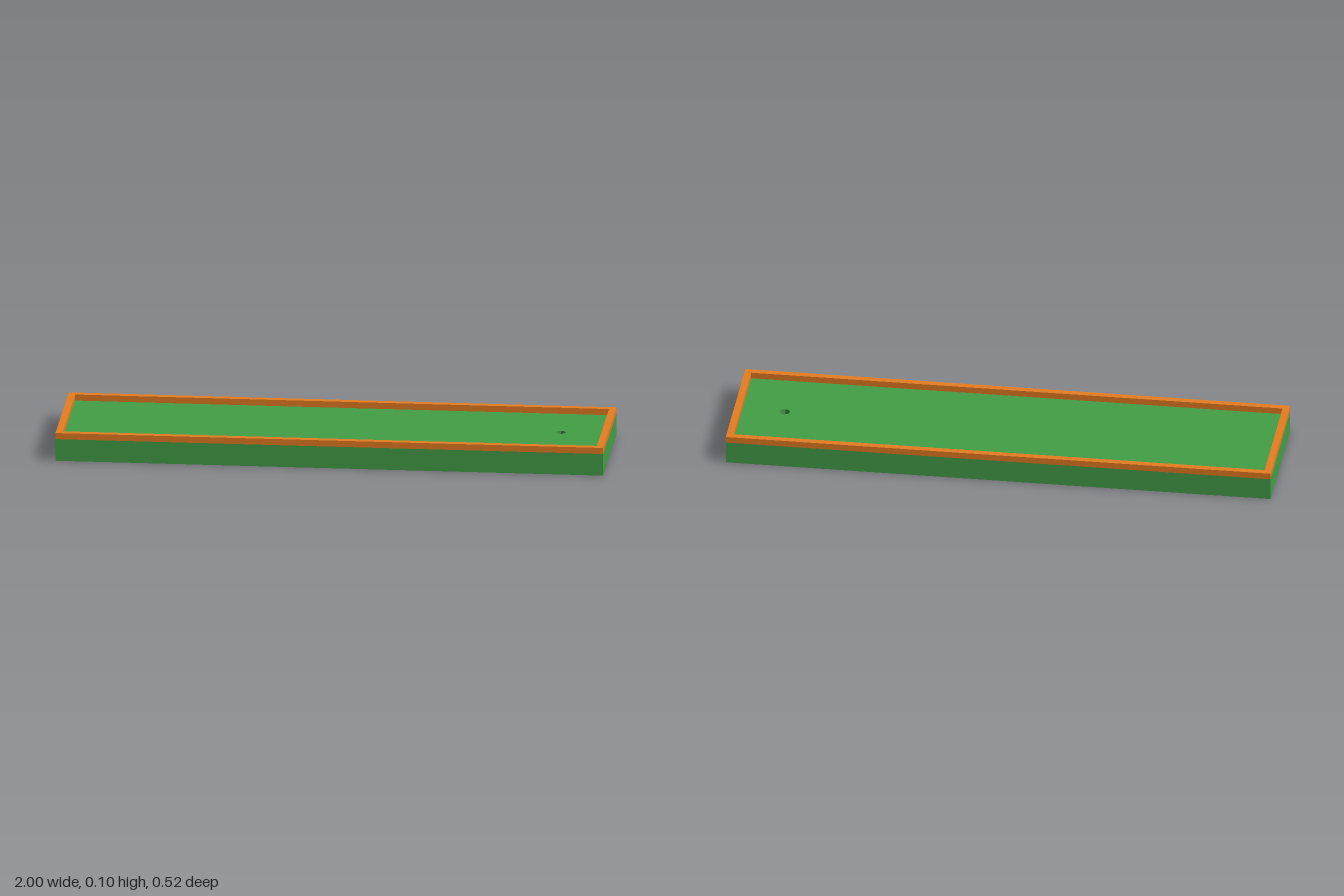
import * as THREE from 'three';

const HALF_X = 1, HALF_Z = 0.258;
const BASE_H = 0.082, TOTAL_H = 0.105, RIM = 0.025;
const CUP = { x: 0.82, r: 0.02, depth: 0.04, sides: 8 };

// Rectangle corners centred on the origin
function rect(hx, hz) {
  return [[-hx, -hz], [hx, -hz], [hx, hz], [-hx, hz]].map(([x, z]) => new THREE.Vector2(x, z));
}

// Flat plate with one hole, laid down and spanning y0..y1
function plate(outline, hole, y0, y1) {
  const shape = new THREE.Shape(outline);
  shape.holes.push(new THREE.Path(hole));
  const geometry = new THREE.ExtrudeGeometry(shape, { depth: y1 - y0, bevelEnabled: false });
  return geometry.rotateX(-Math.PI / 2).translate(0, y0, 0);
}

export function createModel() {
  const group = new THREE.Group();
  const green = new THREE.MeshStandardMaterial({ color: 0x43a047, flatShading: true });
  const orange = new THREE.MeshStandardMaterial({ color: 0xe67e22, flatShading: true });

  function add(name, geometry, material) {
    const mesh = new THREE.Mesh(geometry, material);
    mesh.name = name;
    group.add(mesh);
  }

  // Solid lower slab, which also closes the bottom of the cup
  const slabH = BASE_H - CUP.depth;
  add('baseSlab', new THREE.BoxGeometry(HALF_X * 2, slabH, HALF_Z * 2).translate(0, slabH / 2, 0), green);

  // Playing surface with the cup cut into it
  const cup = Array.from({ length: CUP.sides }, (_, i) => {
    const a = (i / CUP.sides) * Math.PI * 2;
    return new THREE.Vector2(CUP.x + CUP.r * Math.cos(a), CUP.r * Math.sin(a));
  });
  add('playingSurface', plate(rect(HALF_X, HALF_Z), cup, slabH, BASE_H), green);

  // Raised border around the edge
  add('borderRim', plate(rect(HALF_X, HALF_Z), rect(HALF_X - RIM, HALF_Z - RIM), BASE_H, TOTAL_H), orange);

  return group;
}
